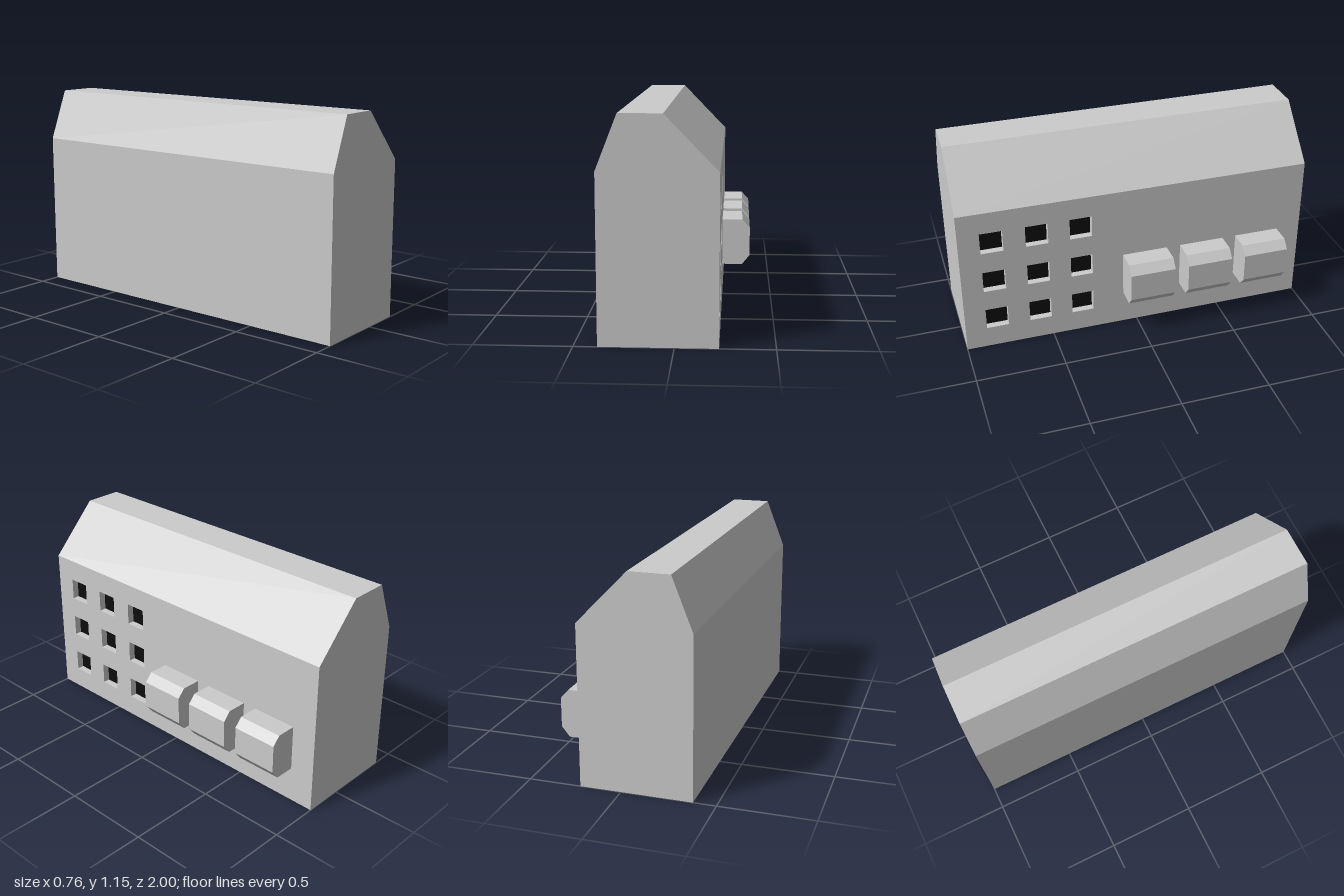
import * as THREE from 'three';

const grey = new THREE.MeshStandardMaterial({ color: 0xcccccc, flatShading: true });
const black = new THREE.MeshStandardMaterial({ color: 0x0d0d0d, flatShading: true });

const WALL_X = 0.22, WALL_TOP = 0.87, RECESS = 0.04, WINDOW = 0.125;

const polygon = (points) => new THREE.Shape(points.map(([x, y]) => new THREE.Vector2(x, y)));
const extrude = (shape, depth) => new THREE.ExtrudeGeometry(shape, { depth, bevelEnabled: false });

function addMesh(parent, name, geometry, material) {
  const mesh = new THREE.Mesh(geometry, material);
  mesh.name = name;
  parent.add(mesh);
  return mesh;
}

// Keep only the triangles whose normal and centre pass the test
function keepFaces(geometry, test) {
  const pos = geometry.getAttribute('position');
  const tri = new THREE.Triangle(), normal = new THREE.Vector3(), mid = new THREE.Vector3();
  const kept = [];
  for (let i = 0; i < pos.count; i += 3) {
    tri.setFromAttributeAndIndices(pos, i, i + 1, i + 2);
    tri.getNormal(normal);
    tri.getMidpoint(mid);
    if (test(normal, mid)) kept.push(tri.a.toArray(), tri.b.toArray(), tri.c.toArray());
  }
  const result = new THREE.BufferGeometry();
  result.setAttribute('position', new THREE.Float32BufferAttribute(kept.flat(), 3));
  result.computeVertexNormals();
  return result;
}

export function createModel() {
  const model = new THREE.Group();
  model.name = 'building';

  // Main hull with a bevelled roof, open where the window wall goes
  const profile = polygon([
    [-0.38, 0], [WALL_X, 0], [WALL_X, WALL_TOP], [-0.05, 1.15], [-0.27, 1.15], [-0.38, WALL_TOP],
  ]);
  const hull = extrude(profile, 2).translate(0, 0, -1);
  addMesh(model, 'hull', keepFaces(hull, (n) => n.x < 0.99), grey);

  // Window wall, drawn with -z along the shape's x axis
  const wall = polygon([[-1, 0], [1, 0], [1, WALL_TOP], [-1, WALL_TOP]]);
  const windows = [];
  for (const z of [0.818, 0.57, 0.323])
    for (const y of [0.187, 0.435, 0.683]) windows.push([z, y]);

  const h = WINDOW / 2;
  for (const [z, y] of windows)
    wall.holes.push(polygon([[-z - h, y - h], [-z - h, y + h], [-z + h, y + h], [-z + h, y - h]]));

  // Keep the outer face and the window reveals
  const wallGeometry = keepFaces(extrude(wall, RECESS), (n, c) =>
    n.z > 0.9 || (n.z > -0.1 && Math.abs(c.x) < 0.95 && c.y > 0.05 && c.y < 0.8));
  wallGeometry.rotateY(Math.PI / 2).translate(WALL_X - RECESS, 0, 0);
  addMesh(model, 'windowWall', wallGeometry, grey);

  // Dark panes at the back of the recesses
  const pane = new THREE.PlaneGeometry(WINDOW, WINDOW).rotateY(Math.PI / 2);
  for (const [z, y] of windows)
    addMesh(model, 'windowPane', pane, black).position.set(WALL_X - RECESS, y, z);

  // Three bevelled bays projecting from the wall
  const bay = extrude(polygon([
    [WALL_X, 0.2], [0.333, 0.2], [0.376, 0.253], [0.376, 0.412], [0.333, 0.46], [WALL_X, 0.46],
  ]), 0.26).translate(0, 0, -0.13);
  for (let i = 0; i < 3; i++)
    addMesh(model, 'bay', bay, grey).position.z = -0.048 - i * 0.34;

  return model;
}
